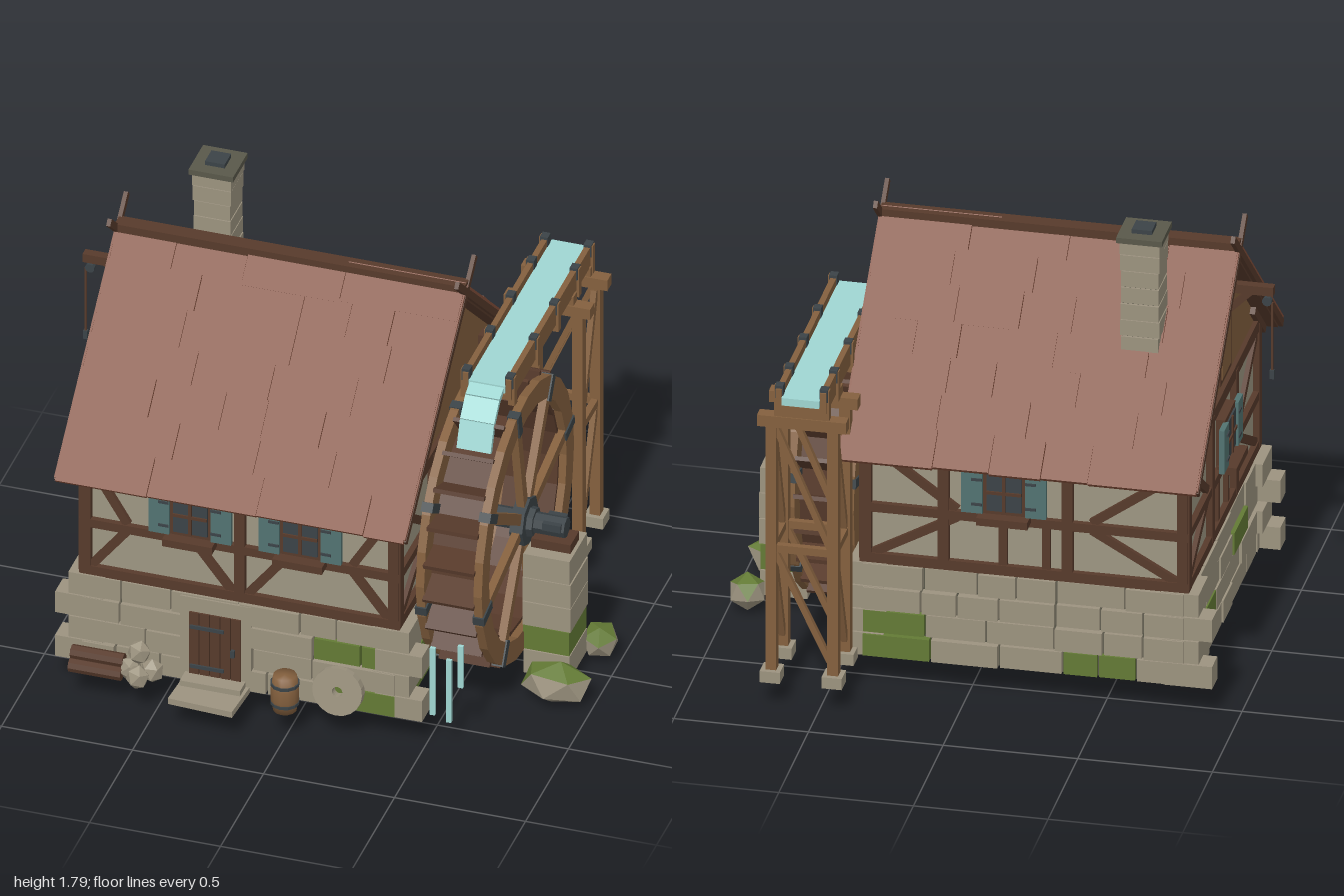
import * as THREE from 'three';

const mat = (name, color) => Object.assign(new THREE.MeshStandardMaterial({ color }), { name });
const stone = mat('stone', 0x9c937f), plaster = mat('plaster', 0x9d9682), mortar = mat('mortar', 0x59584a);
const moss = mat('moss', 0x637a35), timber = mat('dark timber', 0x573a2b), wood = mat('oak', 0x84603e);
const roofRed = mat('roof shingle', 0x824e3a), iron = mat('iron', 0x3b4347), teal = mat('shutter teal', 0x527371);
const water = mat('water', 0x9fd6d2);

let seed = 7;
const rand = (a = 0, b = 1) => { seed = (seed * 16807) % 2147483647; return a + (b - a) * seed / 2147483647; };
const V = (x, y, z) => new THREE.Vector3(x, y, z);

function add(parent, name, geo, m, x = 0, y = 0, z = 0) {
  const mesh = new THREE.Mesh(geo, m);
  mesh.name = name;
  mesh.position.set(x, y, z);
  parent.add(mesh);
  return mesh;
}
const box = (p, name, m, w, h, d, x, y, z) => add(p, name, new THREE.BoxGeometry(w, h, d), m, x, y, z);
// Straight beam from a to b with section w by d
function beam(p, name, m, a, b, w, d) {
  const dir = b.clone().sub(a), mid = a.clone().add(b).multiplyScalar(0.5);
  const mesh = box(p, name, m, w, dir.length(), d, mid.x, mid.y, mid.z);
  mesh.quaternion.setFromUnitVectors(V(0, 1, 0), dir.normalize());
  return mesh;
}
function cyl(p, name, m, r0, r1, h, n, x, y, z, axis = 'y') {
  const g = new THREE.CylinderGeometry(r0, r1, h, n).toNonIndexed();
  g.computeVertexNormals();
  if (axis === 'x') g.rotateZ(Math.PI / 2);
  if (axis === 'z') g.rotateX(Math.PI / 2);
  return add(p, name, g, m, x, y, z);
}
function group(parent, name, x = 0, y = 0, z = 0, ry = 0) {
  const g = new THREE.Group();
  g.name = name;
  g.position.set(x, y, z);
  g.rotation.y = ry;
  parent.add(g);
  return g;
}
function ringGeo(outer, inner, depth, seg) {
  const s = new THREE.Shape().absarc(0, 0, outer, 0, Math.PI * 2);
  s.holes.push(new THREE.Path().absarc(0, 0, inner, 0, Math.PI * 2, true));
  return new THREE.ExtrudeGeometry(s, { depth, bevelEnabled: false, curveSegments: seg }).translate(0, 0, -depth / 2);
}

// Faceted boulder, mossy on its upward faces
function boulder(p, name, x, y, z, sx, sy, sz, turn, mossy = true) {
  const g = new THREE.IcosahedronGeometry(1, 0).rotateZ(turn).rotateY(turn * 2).scale(sx, sy, sz);
  g.computeVertexNormals();
  const n = g.attributes.normal;
  for (let i = 0; i < n.count; i += 3) g.addGroup(i, 3, mossy && n.getY(i) > 0.35 ? 1 : 0);
  add(p, name, g, [stone, moss], x, y, z);
}

function windowUnit(p, u) {
  const g = group(p, 'window', u, 0.84, 0.6);
  box(g, 'windowFrame', timber, 0.17, 0.19, 0.035, 0, 0, 0.01);
  box(g, 'glass', iron, 0.13, 0.15, 0.008, 0, 0, 0.03);
  box(g, 'mullion', timber, 0.012, 0.15, 0.008, 0, 0, 0.036);
  box(g, 'glazingBar', timber, 0.13, 0.012, 0.008, 0, 0, 0.036);
  box(g, 'windowSill', timber, 0.19, 0.03, 0.075, 0, -0.105, 0.035);
  for (const s of [-1, 1]) {
    box(g, 'shutter', teal, 0.078, 0.175, 0.02, s * 0.118, 0, 0.03);
    for (const y of [-0.05, 0.05]) box(g, 'shutterHinge', iron, 0.04, 0.01, 0.006, s * 0.1, y, 0.042);
  }
}

// One side of the house: stone courses below, timber frame above (local +z faces out)
function wall(house, name, ry, posts, windows, mossy) {
  const g = group(house, name, 0, 0, 0, ry);
  for (let row = 0; row < 4; row++) {
    for (let u = -0.6; u < 0.6;) {
      let w = rand(0.13, 0.27);
      if (u + w > 0.52) w = 0.6 - u;
      const c = u + w / 2, green = mossy.some(([r, a, b]) => r === row && c > a && c < b);
      box(g, 'wallStone', green ? moss : stone, w - 0.008, 0.087, 0.05, c, 0.167 + row * 0.095, 0.59 + rand(0, 0.014));
      u += w;
    }
  }
  for (const [y, h] of [[0.515, 0.04], [0.72, 0.035], [1.005, 0.05]]) box(g, 'rail', timber, 1.22, h, 0.03, 0, y, 0.597);
  for (const u of [-0.588, ...posts, 0.588]) box(g, 'post', timber, 0.04, 0.5, 0.034, u, 0.76, 0.597);
  const inner = posts.length === 1 ? 0.43 : 0.25;
  for (const s of [-1, 1]) {
    beam(g, 'upperBrace', timber, V(s * 0.57, 0.97, 0.595), V(s * inner, 0.74, 0.595), 0.032, 0.025);
    beam(g, 'lowerBrace', timber, V(s * 0.57, 0.53, 0.595), V(s * inner, 0.71, 0.595), 0.032, 0.025);
    if (posts.length === 1) beam(g, 'middleBrace', timber, V(s * 0.03, 0.53, 0.595), V(s * 0.17, 0.71, 0.595), 0.032, 0.025);
    else box(g, 'stud', timber, 0.03, 0.2, 0.025, s * 0.08, 0.61, 0.595);
  }
  windows.forEach(u => windowUnit(g, u));
}

function buildHouse(root) {
  const h = group(root, 'house', -0.205, 0, 0.045);
  box(h, 'foundation', mortar, 1.19, 0.385, 1.19, 0, 0.3125, 0);
  box(h, 'plasterWalls', plaster, 1.18, 0.53, 1.18, 0, 0.765, 0);
  wall(h, 'frontWall', 0, [0], [-0.18, 0.24], [[0, 0.38, 0.6], [2, 0.36, 0.6]]);
  wall(h, 'rightWall', Math.PI / 2, [-0.2, 0.2], [0.015], [[0, -0.55, -0.2], [1, -0.45, -0.2], [0, 0.48, 0.6]]);
  wall(h, 'backWall', Math.PI, [-0.3, 0.16], [-0.07], [[0, -0.5, -0.3], [0, 0.1, 0.35], [1, -0.6, -0.45]]);
  wall(h, 'leftWall', -Math.PI / 2, [-0.2, 0.2], [0.015], [[1, -0.4, -0.15], [2, 0, 0.25]]);
  // Corner stones, alternately long and short
  for (const sx of [-1, 1]) for (const sz of [-1, 1]) for (let r = 0; r < 4; r++) {
    const long = r % 2 === 0;
    box(h, 'cornerStone', stone, long ? 0.18 : 0.14, 0.09, long ? 0.09 : 0.16, sx * (long ? 0.61 : 0.58), 0.167 + r * 0.095, sz * (long ? 0.575 : 0.54));
  }
  // Boarded gables
  const tri = new THREE.Shape([[-0.61, 1.03], [0.61, 1.03], [0, 1.575]].map(p => new THREE.Vector2(...p)));
  add(h, 'gable', new THREE.ExtrudeGeometry(tri, { depth: 1.19, bevelEnabled: false }).translate(0, 0, -0.595).rotateY(Math.PI / 2), wood);
  box(h, 'loftHatch', timber, 0.03, 0.24, 0.19, -0.6, 1.2, 0);
  box(h, 'hatchBoard', wood, 0.01, 0.2, 0.15, -0.613, 1.2, 0);
  buildRoof(h);
  buildDoor(h);
}

function buildRoof(h) {
  const roof = group(h, 'roof', 0, 1.625, 0), pitch = Math.atan2(0.66, 0.73);
  for (const ry of [0, Math.PI]) {
    const slope = group(group(roof, 'roofSide', 0, 0, 0, ry), 'roofSlope');
    slope.rotation.x = pitch;
    box(slope, 'roofDeck', timber, 1.31, 0.025, 0.97, 0, -0.03, 0.487);
    // Shingle boards with uneven lengths
    for (let r = 0; r < 7; r++) {
      for (let x = -0.665; x < 0.66;) {
        let w = rand(0.16, 0.42);
        if (x + w > 0.55) w = 0.665 - x;
        const b = box(slope, 'shingle', roofRed, w - 0.002, 0.02, 0.15, x + w / 2, -0.006 + rand(-0.003, 0.003), 0.07 + r * 0.14 + rand(-0.004, 0.004));
        b.rotation.x = 0.03;
        x += w;
      }
    }
    for (const x of [-0.664, 0.664]) {
      box(slope, 'bargeBoard', timber, 0.016, 0.028, 1.1, x, -0.022, 0.43);
      box(slope, 'bargeFace', roofRed, 0.008, 0.03, 0.97, x * 1.003, -0.012, 0.49);
    }
    for (let i = 0; i < 9; i++) box(slope, 'rafter', timber, 0.03, 0.03, 0.24, -0.6 + i * 0.15, -0.055, 0.84);
  }
  box(roof, 'ridgeCap', timber, 1.335, 0.04, 0.06, 0, -0.01, 0);
  // Chimney
  const c = group(h, 'chimney', -0.37, 0, -0.27);
  for (let i = 0; i < 8; i++) box(c, 'chimneyStone', stone, 0.145 + rand(-0.008, 0.008), 0.062, 0.15 + rand(-0.008, 0.006), 0, 1.28 + i * 0.066, 0);
  box(c, 'chimneyCore', mortar, 0.13, 0.5, 0.13, 0, 1.5, 0);
  box(c, 'chimneyCap', mortar, 0.17, 0.022, 0.17, 0, 1.77, 0);
  box(c, 'flue', iron, 0.075, 0.025, 0.075, 0, 1.785, 0);
  // Hoist over the loft hatch
  const k = group(h, 'hoist', -0.77, 0, -0.005);
  box(k, 'hoistBeam', timber, 0.27, 0.035, 0.035, 0.11, 1.45, 0);
  beam(k, 'hoistBrace', timber, V(0.06, 1.44, 0), V(0.16, 1.34, 0), 0.025, 0.025);
  cyl(k, 'pulley', iron, 0.018, 0.018, 0.02, 10, 0, 1.405, 0, 'z');
  box(k, 'rope', timber, 0.008, 0.28, 0.008, -0.018, 1.26, 0);
  box(k, 'hook', iron, 0.016, 0.035, 0.016, -0.018, 1.11, 0);
}

function buildDoor(h) {
  const d = group(h, 'door', -0.085, 0, 0.615);
  box(d, 'doorSurround', stone, 0.27, 0.36, 0.03, 0, 0.31, 0);
  for (let i = 0; i < 5; i++) box(d, 'doorPlank', timber, 0.037, 0.29, 0.02, -0.08 + i * 0.04, 0.285, 0.012);
  for (const y of [0.2, 0.37]) box(d, 'doorStrap', iron, 0.13, 0.014, 0.008, -0.03, y, 0.025);
  box(d, 'doorHandle', iron, 0.014, 0.03, 0.014, 0.07, 0.285, 0.028);
  box(d, 'lowerStep', stone, 0.25, 0.025, 0.18, 0, 0.13, 0.09).rotation.y = -0.06;
  box(d, 'upperStep', stone, 0.23, 0.03, 0.08, 0, 0.15, 0.04);
}

function buildYard(root) {
  const y = group(root, 'yard');
  // Barrel
  const prof = [[0, 0], [0.043, 0], [0.053, 0.05], [0.053, 0.1], [0.043, 0.15], [0, 0.15]].map(p => new THREE.Vector2(...p));
  add(y, 'barrel', new THREE.LatheGeometry(prof, 12), wood, -0.005, 0.12, 0.735);
  for (const b of [0.155, 0.235]) cyl(y, 'barrelHoop', iron, 0.054, 0.054, 0.012, 12, -0.005, b, 0.735);
  // Millstone leaning on the wall
  const m = add(y, 'millstone', ringGeo(0.095, 0.02, 0.035, 10), stone, 0.185, 0.213, 0.69);
  m.rotation.x = -0.15;
  // Log pile and sacks
  for (const [ly, lz] of [[0.148, 0.69], [0.148, 0.74], [0.19, 0.715]]) cyl(y, 'log', timber, 0.027, 0.027, 0.2, 8, -0.725, ly, lz, 'x');
  for (const [sx, sy, sz] of [[-0.6, 0.165, 0.72], [-0.52, 0.165, 0.71], [-0.56, 0.16, 0.76], [-0.57, 0.235, 0.71]])
    boulder(y, 'sack', sx, sy, sz, 0.045, 0.05, 0.042, sx * 5, false);
  boulder(y, 'frontBoulder', 0.86, 0.09, 0.215, 0.14, 0.085, 0.09, 0.4);
  boulder(y, 'backBoulder', 0.925, 0.09, -0.1, 0.073, 0.07, 0.075, 0.9);
  // Axle pier
  for (let i = 0; i < 5; i++) box(y, 'pierStone', i === 1 ? moss : stone, 0.175 + rand(-0.01, 0.01), 0.1, 0.2 + rand(-0.012, 0.008), 0.8, 0.107 + i * 0.104, 0.045);
  box(y, 'pierMoss', moss, 0.09, 0.075, 0.19, 0.755, 0.27, 0.05);
  box(y, 'bearingBlock', timber, 0.15, 0.04, 0.1, 0.8, 0.59, 0.045);
  box(y, 'bearing', iron, 0.07, 0.03, 0.09, 0.8, 0.665, 0.045);
}

function buildWheel(root) {
  // Local x, y lie in the wheel plane and local z follows the axle
  const w = group(root, 'waterWheel', 0.57, 0.65, 0.045, Math.PI / 2);
  const N = 24;
  add(w, 'wheelSole', ringGeo(0.445, 0.432, 0.2, N / 2), timber);
  for (const z of [-0.11, 0.11]) {
    add(w, 'wheelRim', ringGeo(0.538, 0.452, 0.032, N / 2), wood, 0, 0, z);
    cyl(w, 'hub', iron, 0.095, 0.095, 0.05, 8, 0, 0, z, 'z');
    cyl(w, 'hubBoss', iron, 0.055, 0.06, 0.04, 8, 0, 0, z * 1.25, 'z');
    for (let i = 0; i < 8; i++) {
      const a = (12 + i * 45) * Math.PI / 180, c = Math.cos(a), s = Math.sin(a);
      beam(w, 'spoke', wood, V(c * 0.07, s * 0.07, z), V(c * 0.47, s * 0.47, z), 0.042, 0.03);
      beam(w, 'spokeClamp', iron, V(c * 0.44, s * 0.44, z), V(c * 0.54, s * 0.54, z), 0.036, 0.044);
    }
  }
  for (let i = 0; i < N; i++) {
    const a = i * Math.PI * 2 / N, b = a + 0.09;
    beam(w, 'paddle', timber, V(Math.cos(a) * 0.44, Math.sin(a) * 0.44, 0), V(Math.cos(b) * 0.55, Math.sin(b) * 0.55, 0), 0.016, 0.195);
  }
  cyl(w, 'axle', iron, 0.04, 0.04, 0.47, 8, 0, 0, 0.04, 'z');
  // Dripping water
  for (const [x, y0, y1] of [[0.515, 0.12, 0.41], [0.577, 0.1, 0.37], [0.622, 0.26, 0.44]])
    box(root, 'drip', water, 0.02, y1 - y0, 0.014, x, (y0 + y1) / 2, 0.6);
}

function buildFlume(root) {
  const f = group(root, 'flume', 0.565, 0, 0);
  box(f, 'flumeFloor', wood, 0.17, 0.02, 0.96, 0, 1.225, -0.355);
  box(f, 'flumeWater', water, 0.14, 0.03, 0.97, 0, 1.256, -0.36);
  const fall = [V(0, 1.256, 0.12), V(0, 1.235, 0.17), V(0, 1.17, 0.23), V(0, 1.07, 0.27)];
  for (let i = 0; i < 3; i++) beam(f, 'waterfall', water, fall[i], fall[i + 1], 0.13, 0.02);
  for (const s of [-1, 1]) {
    box(f, 'flumeSide', wood, 0.022, 0.085, 0.96, s * 0.082, 1.257, -0.355);
    for (const z of [0.1, -0.17, -0.41, -0.65, -0.81]) box(f, 'flumeClamp', iron, 0.03, 0.05, 0.035, s * 0.083, 1.285, z);
    for (const z of [0.1, -0.17, -0.41, -0.65, -0.81]) box(f, 'flumeStay', wood, 0.026, 0.12, 0.026, s * 0.09, 1.245, z);
    // Trestle legs and bracing
    const x = s * 0.115;
    for (const z of [-0.6, -0.8]) {
      box(f, 'trestleLeg', wood, 0.04, 1.02, 0.04, x, 0.66, z);
      box(f, 'footing', stone, 0.075, 0.045, 0.075, x, 0.127, z);
    }
    box(f, 'sideRail', wood, 0.025, 0.03, 0.2, x, 0.64, -0.7);
    beam(f, 'sideBrace', wood, V(x, 0.66, -0.62), V(x, 1.13, -0.78), 0.022, 0.025);
    beam(f, 'sideBrace', wood, V(x, 0.62, -0.78), V(x, 0.2, -0.62), 0.022, 0.025);
  }
  for (const z of [-0.6, -0.8]) {
    box(f, 'trestleCap', wood, 0.33, 0.045, 0.05, 0, 1.16, z);
    box(f, 'crossRail', wood, 0.23, 0.03, 0.025, 0, 0.64, z);
    beam(f, 'crossBrace', wood, V(-0.1, 0.66, z), V(0.1, 1.13, z), 0.022, 0.022);
    beam(f, 'crossBrace', wood, V(0.1, 0.62, z), V(-0.1, 0.2, z), 0.022, 0.022);
    box(f, 'bearer', wood, 0.2, 0.04, 0.04, 0, 1.2, z);
  }
  // Wall bracket carrying the flume past the gable
  box(f, 'wallBracket', wood, 0.03, 0.3, 0.03, -0.145, 0.99, -0.32);
  box(f, 'bracketArm', timber, 0.2, 0.04, 0.05, -0.07, 1.16, -0.32);
}

export function createModel() {
  const root = new THREE.Group();
  root.name = 'watermill';
  buildHouse(root);
  buildYard(root);
  buildWheel(root);
  buildFlume(root);
  return root;
}
